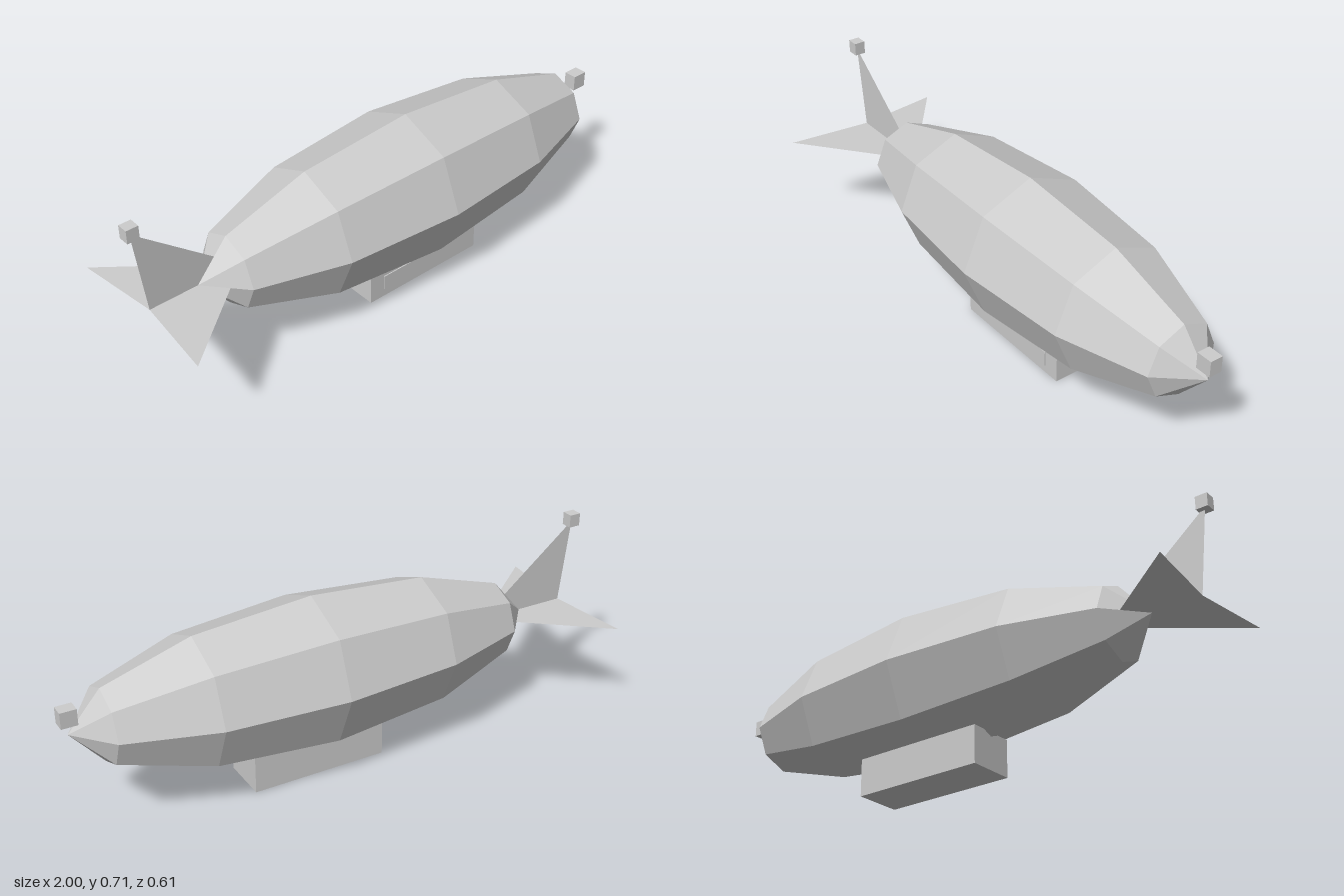
import * as THREE from 'three';

export function createModel() {
  const group = new THREE.Group();
  const grey = new THREE.MeshStandardMaterial({ color: 0xcccccc, flatShading: true });
  grey.name = 'light grey';
  grey.side = THREE.DoubleSide;

  const add = (name, geometry, x = 0, y = 0, z = 0) => {
    const mesh = new THREE.Mesh(geometry, grey);
    mesh.name = name;
    mesh.position.set(x, y, z);
    group.add(mesh);
    return mesh;
  };
  const box = (name, w, h, d, x, y, z) => add(name, new THREE.BoxGeometry(w, h, d), x, y, z);

  // Envelope: an eight-sided, six-band sphere stretched along x
  const axis = 0.371;
  const hull = new THREE.SphereGeometry(1, 8, 6);
  hull.rotateZ(-Math.PI / 2).scale(0.87, 0.27, 0.27);
  add('envelope', hull, 0.104, axis, 0);

  // Tail fins: one upright and a flat pair, all paper thin
  const finShape = new THREE.Shape([
    new THREE.Vector2(-0.945, 0),
    new THREE.Vector2(-0.6, 0),
    new THREE.Vector2(-0.98, 0.306),
  ]);
  const fins = [['upperFin', 0], ['leftFin', Math.PI / 2], ['rightFin', -Math.PI / 2]];
  for (const [name, turn] of fins) {
    add(name, new THREE.ShapeGeometry(finShape), 0, axis, 0).rotation.x = turn;
  }

  // Gondola with a thin panel on its front side
  box('gondola', 0.5, 0.136, 0.175, 0.122, 0.068, 0);
  box('gondolaPanel', 0.38, 0.058, 0.008, 0.122, 0.059, 0.0875);

  // Signal lamps on the fin tip and the nose
  box('tailLamp', 0.043, 0.047, 0.04, -0.9785, 0.686, 0);
  box('noseLamp', 0.057, 0.058, 0.047, 0.9715, 0.439, 0);

  return group;
}
